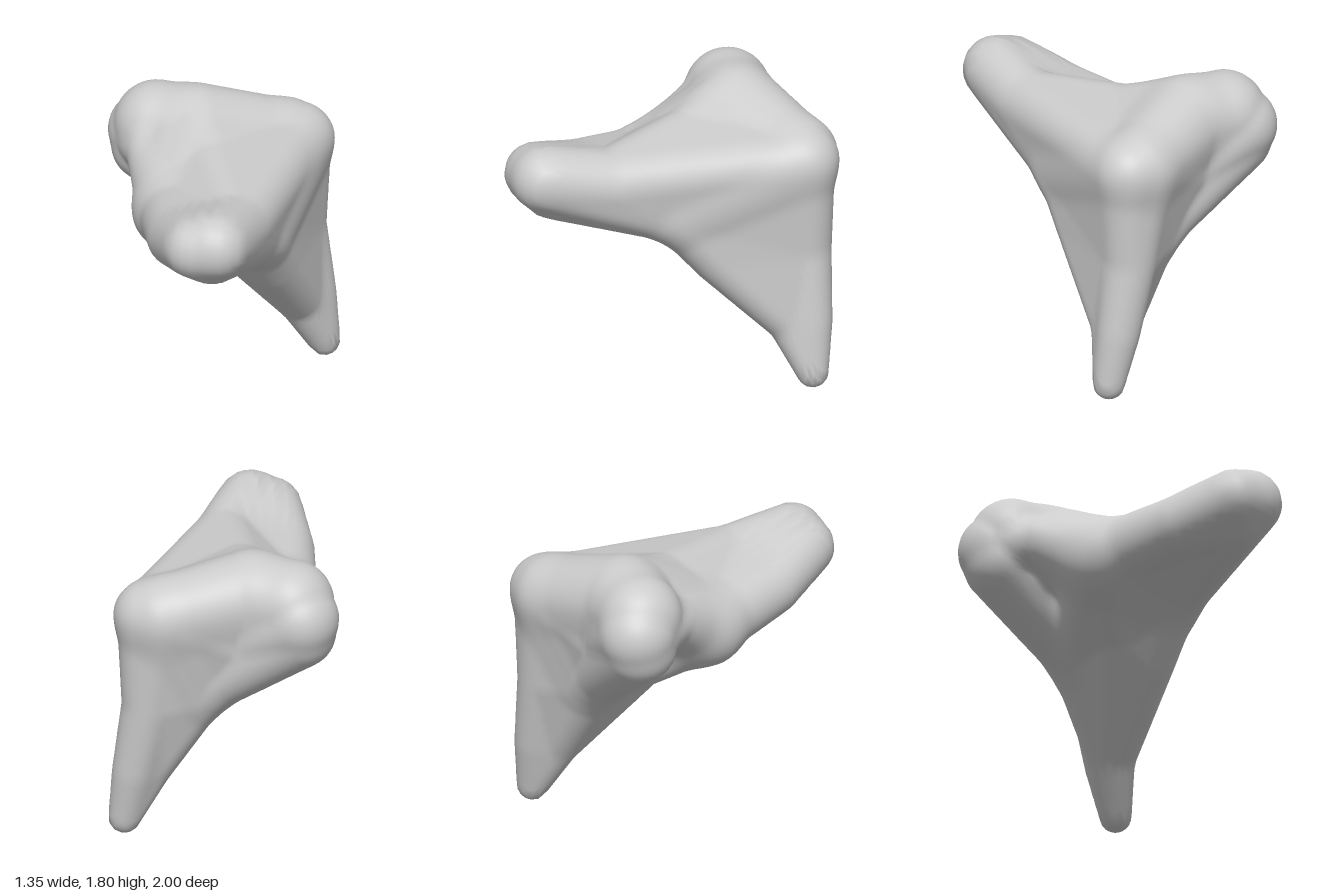
import * as THREE from 'three';

const V = (x, y, z) => new THREE.Vector3(x, y, z);

// Skeleton points: position and thickness radius
const P = {
  // rear corner and top
  cornerIn: [V(0.35, 1.42, -0.765), 0.21], cornerOut: [V(0.435, 1.42, -0.785), 0.185],
  crown: [V(0.1, 1.45, -0.17), 0.21],
  // front arm
  tipOut: [V(0.4, 1.485, 0.79), 0.2], tipIn: [V(0.28, 1.465, 0.81), 0.185],
  tipLow: [V(0.36, 1.39, 0.73), 0.18], armOut: [V(0.41, 1.41, 0.4), 0.197],
  armIn: [V(0.08, 1.35, 0.51), 0.18], bulge: [V(-0.1, 1.26, 0.01), 0.215],
  pit: [V(0.41, 1.15, -0.02), 0.17],
  // side arm
  saddle: [V(-0.12, 1.53, -0.52), 0.25], sideTop: [V(-0.37, 1.525, -0.53), 0.255],
  sideEnd: [V(-0.445, 1.45, -0.575), 0.23], sideLow: [V(-0.43, 1.36, -0.555), 0.22],
  sideRoot: [V(-0.07, 1.25, -0.56), 0.21], lip: [V(-0.33, 1.44, -0.3), 0.15],
  // leg
  foot: [V(0.58, 0.095, -0.8), 0.095], shin: [V(0.47, 0.4, -0.69), 0.14],
  ankle: [V(0.52, 0.4, -0.805), 0.128], calf: [V(0.43, 0.85, -0.79), 0.16],
  kneeOut: [V(0.42, 0.85, -0.27), 0.165], kneeIn: [V(0.2, 0.97, -0.28), 0.17],
  hollow: [V(0.18, 0.92, -0.59), 0.18],
};

// Rounded triangular plates between the points, one group per limb
const limbs = [
  [ // front arm and top
    'tipOut tipIn armOut', 'tipIn armIn armOut', 'armIn armOut bulge',
    'armOut crown bulge', 'armOut crown cornerOut', 'crown cornerIn cornerOut',
    'crown cornerIn saddle', 'crown saddle bulge',
    'tipLow tipIn armIn', 'tipLow armIn bulge', 'tipLow bulge pit',
    'tipLow tipOut pit', 'tipOut armOut pit', 'armOut cornerOut pit',
  ],
  [ // side arm
    'cornerIn saddle sideRoot', 'saddle sideTop sideRoot', 'sideTop sideEnd sideLow',
    'sideTop sideRoot sideLow', 'sideEnd sideRoot sideLow', 'hollow sideRoot sideLow',
    'cornerIn sideRoot hollow', 'sideTop saddle lip', 'sideEnd sideTop lip',
    'lip saddle bulge',
  ],
  [ // leg
    'cornerOut calf pit', 'cornerIn cornerOut calf', 'cornerIn calf hollow',
    'calf pit kneeOut', 'calf kneeOut shin', 'calf ankle shin', 'ankle foot shin',
    'calf hollow shin', 'pit kneeOut kneeIn', 'bulge pit kneeIn',
    'kneeOut kneeIn shin', 'kneeIn hollow shin', 'bulge kneeIn hollow',
  ],
].map((plates) => plates.map((text) => {
  const corners = text.split(' ').map((name) => P[name]);
  return {
    triangle: new THREE.Triangle(...corners.map((c) => c[0])),
    radii: V(...corners.map((c) => c[1])),
  };
}));

const near = V(0, 0, 0), weights = V(0, 0, 0);

function plateDistance(p, { triangle, radii }) {
  triangle.closestPointToPoint(p, near);
  triangle.getBarycoord(near, weights);
  return p.distanceTo(near) - weights.dot(radii);
}

// Soft blend of the three limbs
function distance(p) {
  const k = 0.08;
  let d = 10;
  for (const plates of limbs) {
    let e = 10;
    for (const plate of plates) e = Math.min(e, plateDistance(p, plate));
    const h = Math.max(k - Math.abs(d - e), 0) / k;
    d = Math.min(d, e) - h * h * k * 0.25;
  }
  return d;
}

// Radius of the blended surface along a ray from the core
function surfaceRadius(core, dir) {
  const p = V(0, 0, 0);
  let r = 2.1;
  for (let i = 0; i < 60; i++) {
    const d = distance(p.copy(core).addScaledVector(dir, r));
    if (d < 0.001) break;
    r -= d * 0.85;
  }
  return r;
}

// Smooth normal from the slope of the distance
function gradient(p) {
  const e = 0.045;
  const slope = (x, y, z) =>
    distance(V(p.x + x, p.y + y, p.z + z)) - distance(V(p.x - x, p.y - y, p.z - z));
  return V(slope(e, 0, 0), slope(0, e, 0), slope(0, 0, e)).normalize();
}

export function createModel() {
  const core = V(0.25, 1.25, -0.45);
  const geometry = new THREE.SphereGeometry(1, 160, 120);
  const pos = geometry.attributes.position;
  const normal = geometry.attributes.normal;
  const p = V(0, 0, 0);

  // Push every vertex of the ball out to the blended surface
  for (let i = 0; i < pos.count; i++) {
    p.fromBufferAttribute(pos, i).normalize();
    const r = surfaceRadius(core, p);
    p.multiplyScalar(r).add(core);
    const n = gradient(p);
    pos.setXYZ(i, p.x, p.y, p.z);
    normal.setXYZ(i, n.x, n.y, n.z);
  }

  const body = new THREE.Mesh(geometry, new THREE.MeshStandardMaterial({ color: 0xcccccc }));
  body.name = 'threeArmedBody';

  const group = new THREE.Group();
  group.name = 'threeArmedForm';
  group.add(body);
  return group;
}
